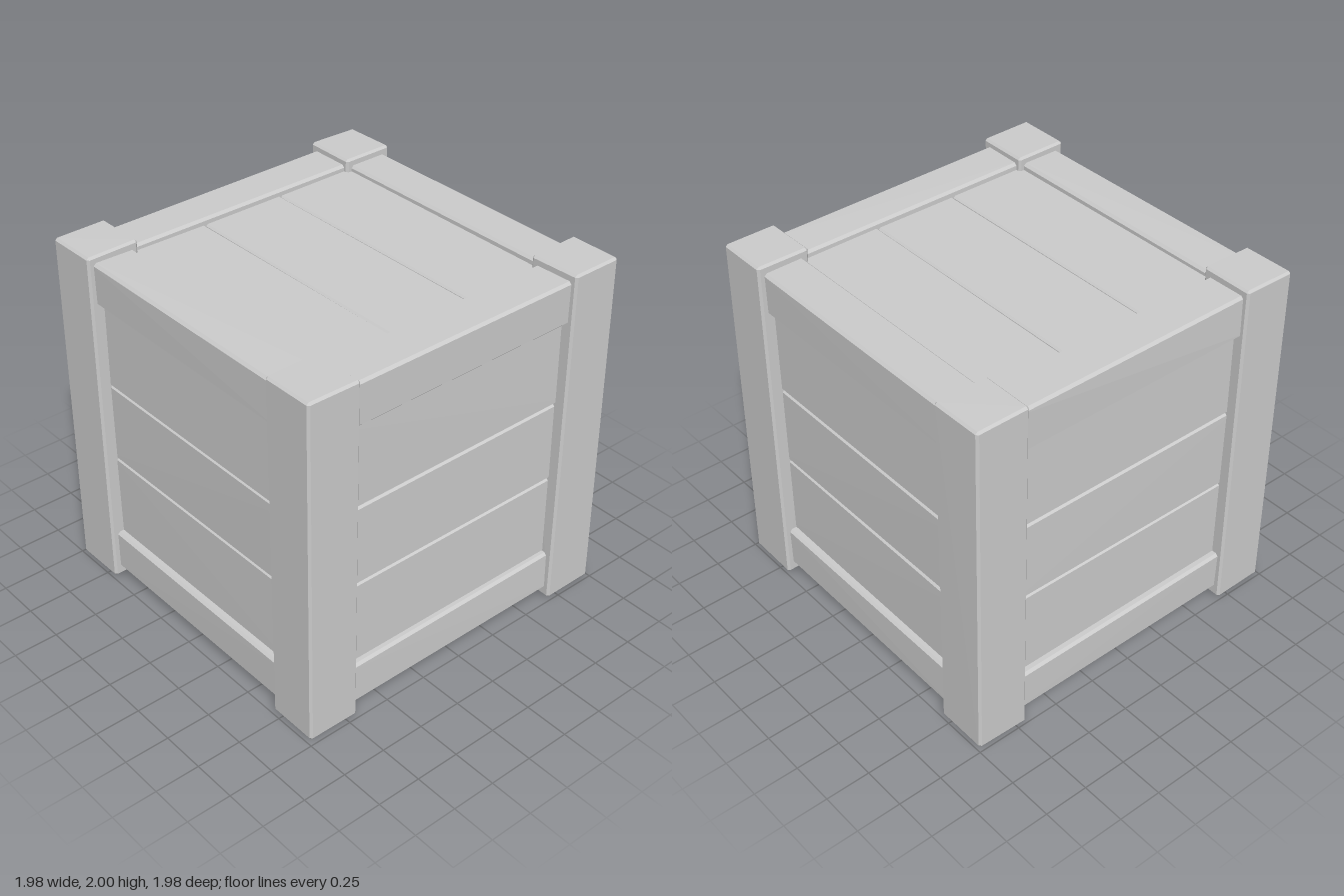
import * as THREE from 'three';
import { ConvexGeometry } from 'three/addons/geometries/ConvexGeometry.js';

// small seeded generator for the hand-hewn unevenness
let seed = 7;
function rand() {
  seed = (seed * 16807) % 2147483647;
  return seed / 2147483647;
}

// chamfered beam between two corners, each corner nudged slightly inward
function beam(name, material, min, max, chamfer, wobble) {
  const points = [];
  for (const sx of [0, 1]) for (const sy of [0, 1]) for (const sz of [0, 1]) {
    const side = [sx, sy, sz];
    const corner = side.map((s, i) => (s ? max[i] - rand() * wobble : min[i] + rand() * wobble));
    // three points per corner, one on each adjoining face
    for (let face = 0; face < 3; face++) {
      const p = corner.map((c, i) => (i === face ? c : c + (side[i] ? -chamfer : chamfer)));
      points.push(new THREE.Vector3(...p));
    }
  }
  const mesh = new THREE.Mesh(new ConvexGeometry(points), material);
  mesh.name = name;
  return mesh;
}

export function createModel() {
  seed = 7;
  const wood = new THREE.MeshStandardMaterial({ color: 0xcccccc, flatShading: true });
  wood.name = 'pale grey wood';
  const crate = new THREE.Group();
  crate.name = 'crate';

  // corner posts
  for (const sx of [-1, 1]) for (const sz of [-1, 1]) {
    const x = sx < 0 ? [-0.99, -0.68] : [0.68, 0.99];
    const z = sz < 0 ? [-0.99, -0.68] : [0.68, 0.99];
    crate.add(beam('cornerPost', wood, [x[0], 0, z[0]], [x[1], 2, z[1]], 0.012, 0.01));
  }

  // top and bottom rails on all four sides
  for (const [y0, y1] of [[0.05, 0.3], [1.71, 1.96]]) {
    for (const s of [-1, 1]) {
      const [a, b] = s < 0 ? [-0.955, -0.71] : [0.71, 0.955];
      crate.add(beam('crossRail', wood, [-0.74, y0, a], [0.74, y1, b], 0.014, 0.007));
      crate.add(beam('sideRail', wood, [a, y0, -0.74], [b, y1, 0.74], 0.014, 0.007));
    }
  }

  // horizontal planks on the four walls
  const rows = [0.285, 0.77, 1.23, 1.725];
  for (let i = 0; i < 3; i++) {
    const y0 = rows[i] - 0.003, y1 = rows[i + 1] + 0.003;
    for (const s of [-1, 1]) {
      const [a, b] = s < 0 ? [-0.92, -0.8] : [0.8, 0.92];
      crate.add(beam('wallPlank', wood, [-0.76, y0, a], [0.76, y1, b], 0.01, 0.008));
      crate.add(beam('wallPlank', wood, [a, y0, -0.76], [b, y1, 0.76], 0.01, 0.008));
    }
  }

  // lid and floor planks running front to back
  const columns = [-0.73, -0.25, 0.24, 0.73];
  for (let i = 0; i < 3; i++) {
    const x0 = columns[i] - 0.003, x1 = columns[i + 1] + 0.003;
    crate.add(beam('lidPlank', wood, [x0, 1.81, -0.76], [x1, 1.925, 0.76], 0.01, 0.008));
    crate.add(beam('floorPlank', wood, [x0, 0.085, -0.76], [x1, 0.2, 0.76], 0.01, 0.008));
  }
  return crate;
}
